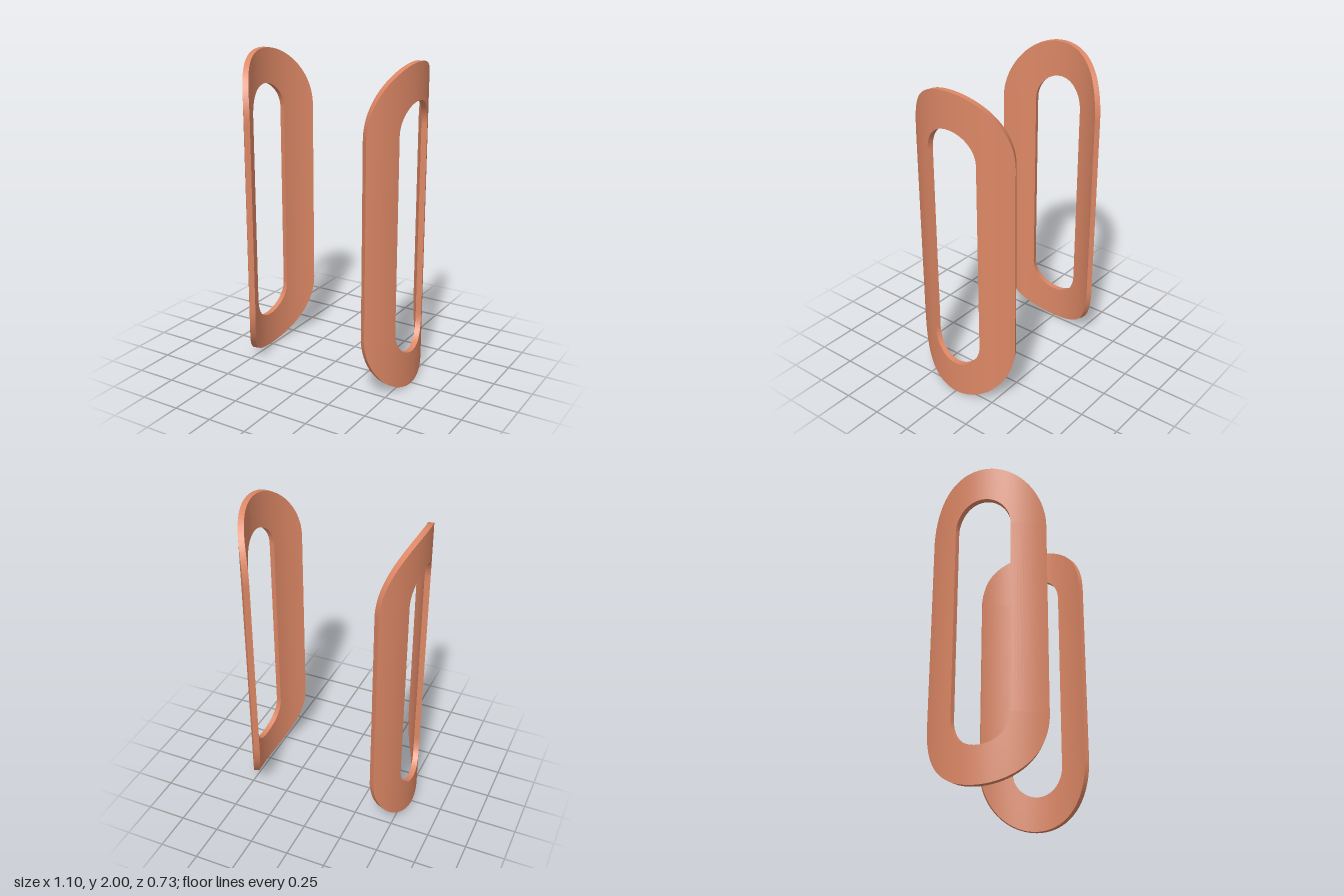
import * as THREE from 'three';

const R_OUT = 0.55, R_IN = 0.515;      // plate curvature, outside and inside
const RIM = 0.4, SLOT = 0.18;          // half widths of the outline and the slot
const Y_LOW = 0.4, Y_HIGH = 1.6;       // centres of the rounded ends
const ARC = 48, ACROSS = 12;

// Upright oblong ring with a slot, wrapped round the y axis on the +x side
function wrappedRing() {
  const loop = [];
  for (const [start, cy] of [[0, Y_HIGH], [Math.PI, Y_LOW]])
    for (let i = 0; i <= ARC; i++) loop.push([start + Math.PI * i / ARC, cy]);
  loop.push([0, Y_HIGH]);

  const pos = [], nor = [], idx = [];
  // One band of the closed cross-section, swept round the loop
  function band(R0, w0, R1, w1, steps, normalAt) {
    const base = pos.length / 3;
    loop.forEach(([a, cy]) => {
      for (let j = 0; j <= steps; j++) {
        const t = j / steps;
        const R = R0 + (R1 - R0) * t, w = w0 + (w1 - w0) * t;
        const spread = R < (R_IN + R_OUT) / 2 ? 0.544 : 0.555;
        const th = w * Math.cos(a) / spread;
        pos.push(R * Math.cos(th), cy + w * Math.sin(a), R * Math.sin(th));
        nor.push(...normalAt(a, th));
      }
    });
    const row = steps + 1;
    for (let i = 0; i < loop.length - 1; i++)
      for (let j = 0; j < steps; j++) {
        const p = base + i * row + j, q = p + row;
        idx.push(p, q, q + 1, p, q + 1, p + 1);
      }
  }
  const face = s => (a, th) => [s * Math.cos(th), 0, s * Math.sin(th)];
  const wall = s => (a, th) => [
    -s * Math.sin(th) * Math.cos(a), s * Math.sin(a), s * Math.cos(th) * Math.cos(a)];

  band(R_IN, RIM, R_IN, SLOT, ACROSS, face(-1));    // inside face
  band(R_IN, SLOT, R_OUT, SLOT, 1, wall(-1));       // slot wall
  band(R_OUT, SLOT, R_OUT, RIM, ACROSS, face(1));   // outside face
  band(R_OUT, RIM, R_IN, RIM, 1, wall(1));          // outer rim

  const g = new THREE.BufferGeometry();
  g.setAttribute('position', new THREE.Float32BufferAttribute(pos, 3));
  g.setAttribute('normal', new THREE.Float32BufferAttribute(nor, 3));
  g.setIndex(idx);
  return g;
}

export function createModel() {
  const group = new THREE.Group();
  group.name = 'curvedSlottedPlates';
  const material = new THREE.MeshStandardMaterial({ color: 0xdc8765 });
  const geometry = wrappedRing();
  // Two facing plates, half a turn apart
  ['leftPlate', 'rightPlate'].forEach((name, i) => {
    const plate = new THREE.Mesh(geometry, material);
    plate.name = name;
    plate.rotation.y = i * Math.PI;
    group.add(plate);
  });
  return group;
}
